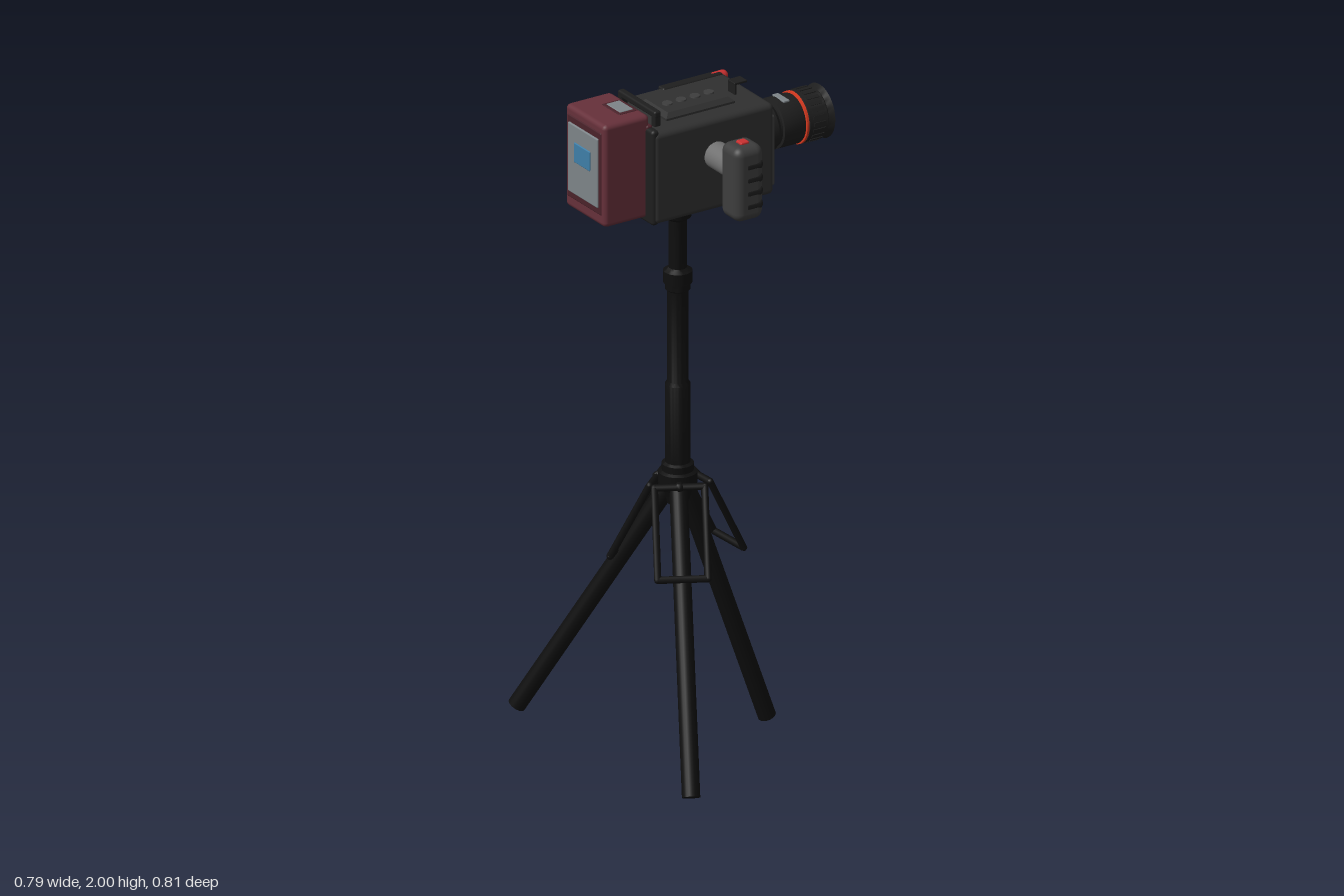
import * as THREE from 'three';
import { toCreasedNormals } from 'three/addons/utils/BufferGeometryUtils.js';
import { RoundedBoxGeometry } from 'three/addons/geometries/RoundedBoxGeometry.js';

const mat = (color, side = THREE.FrontSide) => new THREE.MeshStandardMaterial({ color, side });
const M = {
  tripod: mat(0x0e0e0e), body: mat(0x2f2f2f), dark: mat(0x1e1e1e), trim: mat(0x3d3d3d), grey: mat(0x707070),
  maroon: mat(0x66303a), maroonDark: mat(0x4a222a), red: mat(0xc93030), orange: mat(0xd83a20),
  panel: mat(0x7d8488), blue: mat(0x3f7fa8), glass: mat(0xcccccc), lens: mat(0x1e1e1e, THREE.DoubleSide),
};

function add(parent, name, geo, material, x = 0, y = 0, z = 0) {
  const m = new THREE.Mesh(geo, material);
  m.name = name;
  m.position.set(x, y, z);
  parent.add(m);
  return m;
}
// Box with softened edges, placed by its centre
const block = (p, name, material, x, y, z, w, h, d, r = 0.004, seg = 2) =>
  add(p, name, new RoundedBoxGeometry(w, h, d, seg, r), material, x, y, z);

// Turned part: profile pairs are [radius, height along the axis]
const turned = (profile, n = 32) => toCreasedNormals(
  new THREE.LatheGeometry(profile.map(([r, h]) => new THREE.Vector2(r, h)), n), 0.6);

// Straight rod between two points, with flat or rounded ends
function rod(p, name, material, a, b, r, round = false) {
  const d = b.clone().sub(a), len = d.length();
  const geo = round ? new THREE.CapsuleGeometry(r, len, 3, 8) : new THREE.CylinderGeometry(r, r, len, 20);
  const m = add(p, name, geo, material);
  m.position.copy(a).addScaledVector(d, 0.5);
  m.quaternion.setFromUnitVectors(new THREE.Vector3(0, 1, 0), d.normalize());
  return m;
}
// Short round button facing along z or y
function button(p, name, material, x, y, z, r, h, axis = 'y') {
  const m = add(p, name, new THREE.CylinderGeometry(r * 0.9, r, h, 16), material, x, y, z);
  if (axis === 'z') m.rotation.x = -Math.PI / 2;
  return m;
}

function buildTripod() {
  const g = new THREE.Group();
  g.name = 'tripod';
  const cx = -0.07, cz = -0.004;
  // Telescoping column with collars, hub below and head above
  add(g, 'column', turned([
    [0, 0.74], [0.03, 0.74], [0.045, 0.79], [0.055, 0.8], [0.055, 0.835], [0.045, 0.84], [0.045, 0.86], [0.036, 0.865],
    [0.036, 1.1], [0.03, 1.11], [0.03, 1.385], [0.036, 1.39], [0.036, 1.41], [0.041, 1.41], [0.041, 1.445],
    [0.033, 1.45], [0.026, 1.455], [0.026, 1.6], [0.038, 1.61], [0.045, 1.65], [0, 1.65],
  ]), M.tripod, cx, 0, cz);
  block(g, 'headPlate', M.tripod, cx, 1.658, cz, 0.172, 0.024, 0.16);
  block(g, 'headClamp', M.tripod, cx, 1.64, cz, 0.11, 0.025, 0.1);

  const feet = [[0.236, 0.01, -0.004], [-0.305, 0.04, 0.383], [-0.35, 0.06, -0.38]];
  for (const [fx, fy, fz] of feet) {
    const foot = new THREE.Vector3(fx, fy, fz);
    const out = new THREE.Vector3(fx - cx, 0, fz - cz).normalize();
    const side = new THREE.Vector3(-out.z, 0, out.x);
    const at = (o, y, s) => new THREE.Vector3(cx, y, cz).addScaledVector(out, o).addScaledVector(side, s);
    rod(g, 'leg', M.tripod, at(0.012, 0.81, 0), foot, 0.026);
    // Closed brace frame beside each leg
    const loop = [at(0.06, 0.81, -0.07), at(0.06, 0.81, 0.07), at(0.175, 0.58, 0.07), at(0.175, 0.58, -0.07)];
    loop.forEach((p, i) => rod(g, 'brace', M.tripod, p, loop[(i + 1) % 4], 0.0105, true));
    rod(g, 'braceArm', M.tripod, at(0, 0.815, 0), at(0.06, 0.81, 0), 0.014, true);
  }
  return g;
}

function buildBody(c) {
  block(c, 'body', M.body, 0, 1.812, 0, 0.4, 0.276, 0.27, 0.016, 3);
  block(c, 'basePlate', M.dark, -0.01, 1.676, 0, 0.22, 0.016, 0.16);
  block(c, 'rearCollar', M.dark, -0.192, 1.815, 0, 0.024, 0.288, 0.262, 0.01);
  // Raised top cover with its bevelled rim and buttons
  const s = new THREE.Shape([[-0.1, -0.056], [0.1, -0.056], [0.1, 0.056], [-0.1, 0.056]].map(p => new THREE.Vector2(...p)));
  const cover = add(c, 'topCover', new THREE.ExtrudeGeometry(s,
    { depth: 0.006, bevelEnabled: true, bevelThickness: 0.012, bevelSize: 0.014, bevelSegments: 1 }), M.body, -0.005, 1.95, 0.002);
  cover.rotation.x = -Math.PI / 2;
  for (let i = 0; i < 4; i++) button(c, 'topButton', M.trim, -0.073 + i * 0.046, 1.969, 0.006, 0.016, 0.006);
  // Rear carrying arch
  block(c, 'archBar', M.dark, -0.158, 1.985, -0.006, 0.022, 0.02, 0.19, 0.006);
  for (const z of [-0.09, 0.078]) block(c, 'archPost', M.dark, -0.158, 1.965, z, 0.022, 0.05, 0.02, 0.005);
  // Accessory shoe
  block(c, 'shoePost', M.dark, 0.142, 1.965, 0.008, 0.007, 0.04, 0.036, 0.002);
  block(c, 'shoePlate', M.dark, 0.159, 1.982, 0.008, 0.042, 0.007, 0.036, 0.002);
  // Side rail with signal light
  block(c, 'sideRail', M.dark, 0.09, 1.937, -0.124, 0.2, 0.034, 0.03, 0.006);
  const light = add(c, 'signalLight', new THREE.CapsuleGeometry(0.015, 0.034, 4, 14), M.red, 0.182, 1.94, -0.127);
  light.rotation.z = Math.PI / 2;

  // Hinged door and controls on the back side
  block(c, 'sideDoor', M.body, 0.045, 1.805, -0.142, 0.24, 0.215, 0.03, 0.008);
  block(c, 'doorInset', M.dark, 0.045, 1.815, -0.156, 0.2, 0.15, 0.006, 0.002);
  button(c, 'doorLamp', M.red, -0.03, 1.85, -0.16, 0.008, 0.005, 'z');
  for (let i = 0; i < 5; i++) button(c, 'doorButton', M.trim, -0.035 + i * 0.04, 1.722, -0.158, 0.008, 0.008, 'z');
  block(c, 'controlStrip', M.dark, -0.125, 1.805, -0.137, 0.085, 0.215, 0.016, 0.005);
  for (let i = 0; i < 6; i++)
    button(c, 'controlButton', M.trim, -0.142 + (i % 2) * 0.036, 1.75 + Math.floor(i / 2) * 0.048, -0.147, 0.01, 0.012, 'z');
  for (const x of [-0.08, -0.03, 0.03, 0.08])
    block(c, 'doorCatch', M.trim, x + 0.02, 1.905, -0.15, 0.022, 0.016, 0.016, 0.004);

  // Front face plates and knobs
  block(c, 'frontPlate', M.dark, 0.2, 1.8, 0.012, 0.012, 0.21, 0.205, 0.005);
  block(c, 'frontTrim', M.trim, 0.203, 1.8, 0.088, 0.016, 0.215, 0.066, 0.007);
  block(c, 'frontLowerTrim', M.trim, 0.204, 1.712, 0.03, 0.012, 0.034, 0.13, 0.005);
  for (let i = 0; i < 3; i++) {
    const k = button(c, 'frontKnob', M.dark, 0.206, 1.92 - i * 0.036, -0.075, 0.011, 0.02);
    k.rotation.z = -Math.PI / 2;
  }
  button(c, 'frontDot', M.red, 0.208, 1.715, 0.1, 0.007, 0.014).rotation.z = -Math.PI / 2;
}

function buildLens(c) {
  const lens = new THREE.Group();
  lens.name = 'lens';
  lens.position.set(0, 1.825, 0.008);
  lens.rotation.z = -Math.PI / 2;
  c.add(lens);
  add(lens, 'mount', turned([[0.066, 0.195], [0.066, 0.215], [0.058, 0.22], [0.058, 0.24]]), M.grey);
  add(lens, 'barrel', turned([
    [0.055, 0.225], [0.064, 0.225], [0.076, 0.232], [0.076, 0.25], [0.066, 0.262], [0.066, 0.268], [0.073, 0.27],
    [0.073, 0.337], [0.071, 0.34], [0.071, 0.35], [0.076, 0.352], [0.076, 0.412], [0.072, 0.416], [0.079, 0.433],
    [0.0725, 0.433], [0.068, 0.405],
  ], 40), M.lens);
  add(lens, 'accentRing', turned([[0.07, 0.341], [0.0765, 0.342], [0.0765, 0.349], [0.07, 0.35]], 40), M.orange);
  // Front glass, slightly domed
  add(lens, 'glass', turned([[0.0715, 0.425], [0.06, 0.42], [0.035, 0.424], [0, 0.426]], 32), M.glass);
  for (let i = 0; i < 24; i++) {
    const a = i / 24 * Math.PI * 2;
    const rib = add(lens, 'focusRib', new THREE.BoxGeometry(0.01, 0.04, 0.004), M.dark,
      Math.sin(a) * 0.076, 0.384, Math.cos(a) * 0.076);
    rib.rotation.y = a;
  }
  block(lens, 'scaleWindow', M.panel, -0.072, 0.3, 0.006, 0.006, 0.02, 0.06, 0.002);
}

function buildBattery(c) {
  const g = new THREE.Group();
  g.name = 'batteryPack';
  g.position.set(-0.265, 1.84, -0.004);
  c.add(g);
  block(g, 'batteryCase', M.maroon, 0, 0, 0, 0.152, 0.31, 0.2, 0.014, 2);
  block(g, 'batteryNeck', M.maroonDark, 0.072, -0.01, 0, 0.02, 0.27, 0.21, 0.006);
  // Top window in a frame
  block(g, 'windowFrame', M.maroonDark, 0.034, 0.154, 0.01, 0.062, 0.006, 0.088, 0.002);
  block(g, 'window', M.panel, 0.034, 0.156, 0.01, 0.044, 0.006, 0.07, 0.002);
  // Rear display
  block(g, 'rearFrame', M.maroonDark, -0.074, 0.005, 0, 0.01, 0.25, 0.17, 0.004);
  block(g, 'rearPanel', M.panel, -0.079, 0.005, 0, 0.01, 0.21, 0.15, 0.004);
  block(g, 'rearScreen', M.blue, -0.083, 0.03, 0, 0.008, 0.06, 0.08, 0.003);
  // Side plates
  block(g, 'sidePlateLow', M.panel, -0.004, -0.07, -0.1, 0.1, 0.09, 0.012, 0.004);
  block(g, 'sidePlateHigh', M.panel, -0.004, 0.045, -0.1, 0.1, 0.05, 0.012, 0.004);
  block(g, 'sideSlot', M.dark, 0.005, 0.045, -0.105, 0.04, 0.02, 0.008, 0.002);
}

function buildGrip(c) {
  const g = new THREE.Group();
  g.name = 'sideGrip';
  g.position.set(0.005, 1.82, 0);
  c.add(g);
  const stem = add(g, 'gripStem', new THREE.CylinderGeometry(0.039, 0.039, 0.12, 28), M.grey, 0, 0.022, 0.18);
  stem.rotation.x = Math.PI / 2;
  block(g, 'gripHandle', M.trim, 0, -0.005, 0.266, 0.094, 0.225, 0.092, 0.026, 4);
  // Finger ridges
  for (let i = 0; i < 4; i++)
    block(g, 'fingerRidge', M.dark, 0.012, 0.048 - i * 0.04, 0.291, 0.064, 0.03, 0.044, 0.013, 3);
  block(g, 'gripButton', M.red, 0, 0.108, 0.268, 0.028, 0.012, 0.028, 0.004);
}

export function createModel() {
  const model = new THREE.Group();
  model.name = 'cameraOnTripod';
  model.add(buildTripod());
  const camera = new THREE.Group();
  camera.name = 'videoCamera';
  camera.position.set(-0.045, 0, 0.01);
  camera.rotation.y = -0.045;
  [buildBody, buildLens, buildBattery, buildGrip].forEach(build => build(camera));
  model.add(camera);
  return model;
}
